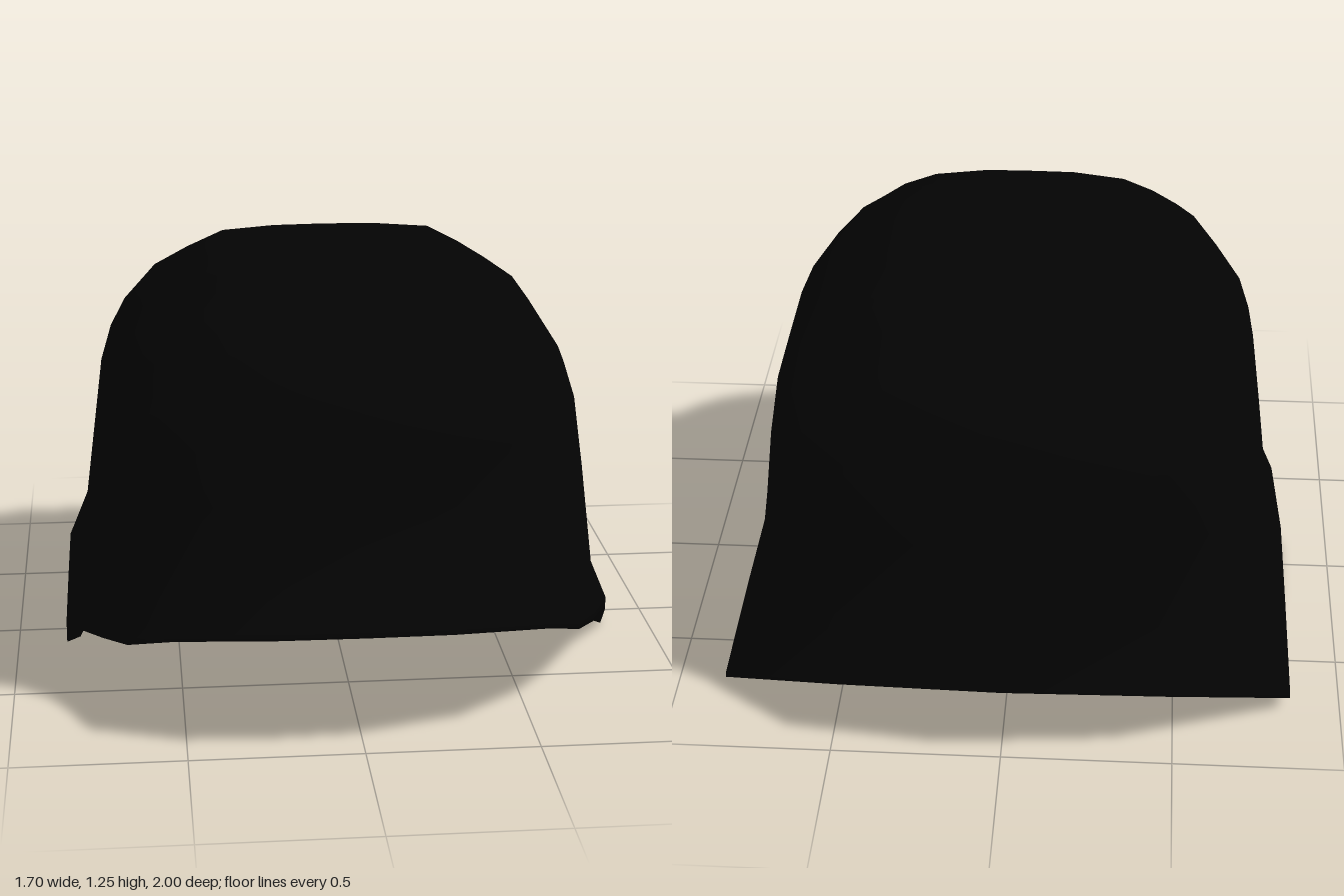
import * as THREE from 'three';

// Half rim from front to back: x, y, z, lip height
const RIM = [
  [0, 0.35, 1, 0.02], [0.25, 0.345, 0.985, 0.02], [0.53, 0.31, 0.88, 0.02], [0.66, 0.23, 0.7, 0.02],
  [0.73, 0.2, 0.57, 0.03], [0.82, 0.13, 0.31, 0.04], [0.85, 0, 0.11, 0.07], [0.85, 0.02, -0.3, 0.05],
  [0.85, 0.04, -0.73, 0.015], [0.48, 0.2, -0.94, 0.01], [0, 0.24, -1, 0.005],
];

// Shell rings: half width, front depth, back depth, height at front, side and back,
// squareness of the front and back halves
const RINGS = [
  [0.79, 0.9, 0.89, 0.45, 0.26, 0.42, 2.6, 4.6],
  [0.75, 0.775, 0.86, 0.65, 0.58, 0.65, 3, 4.5],
  [0.72, 0.79, 0.83, 0.81, 0.81, 0.88, 2.9, 4.8],
  [0.69, 0.74, 0.77, 0.92, 0.92, 0.97, 2.7, 4],
  [0.595, 0.69, 0.7, 1.03, 1.07, 1.08, 2.55, 3.2],
  [0.475, 0.55, 0.51, 1.13, 1.15, 1.155, 3, 4],
  [0.36, 0.25, 0.32, 1.245, 1.22, 1.23, 4, 6],
];

// Mirror a half ring into a closed loop
function mirrorLoop(half) {
  const other = half.slice(1, -1).reverse().map(([x, y, z]) => [-x, y, z]);
  return [...half, ...other];
}

// One shell section, following the directions of the rim points
function section([w, front, back, yf, ys, yb, nf, nb]) {
  return RIM.map(([rx, , rz]) => {
    const a = Math.atan2(rx, rz), s = Math.sin(a), c = Math.cos(a);
    const [depth, yEnd, n] = c > 0 ? [front, yf, nf] : [back, yb, nb];
    const r = (Math.abs(s / w) ** n + Math.abs(c / depth) ** n) ** (-1 / n);
    return [s * r, ys + (yEnd - ys) * c * c, c * r];
  });
}

function loft(loops, apex) {
  const n = loops[0].length, index = [];
  const top = (loops.length - 1) * n;
  for (let r = 0; r < loops.length - 1; r++) {
    for (let i = 0; i < n; i++) {
      const a = r * n + i, b = r * n + (i + 1) % n;
      index.push(a, b, b + n, a, b + n, a + n);
    }
  }
  for (let i = 0; i < n; i++) index.push(top + i, top + (i + 1) % n, loops.length * n);
  const geo = new THREE.BufferGeometry();
  geo.setAttribute('position', new THREE.Float32BufferAttribute([...loops.flat(), apex].flat(), 3));
  geo.setIndex(index);
  geo.computeVertexNormals();
  return geo;
}

export function createModel() {
  const group = new THREE.Group();
  group.name = 'helmet';
  const black = new THREE.MeshStandardMaterial({ color: 0x030303, side: THREE.DoubleSide });
  black.name = 'black';

  // Open shell: turned-in edge, rim, short lip, flared skirt and rounded crown
  const edge = RIM.map(([x, y, z]) => [x * 0.95, y + 0.015, z * 0.95]);
  const rim = RIM.map(([x, y, z]) => [x, y, z]);
  const lip = RIM.map(([x, y, z, h]) => [x, y + h, z]);
  const loops = [edge, rim, lip, ...RINGS.map(section)].map(mirrorLoop);
  const shell = new THREE.Mesh(loft(loops, [0, 1.25, 0.02]), black);
  shell.name = 'helmetShell';
  group.add(shell);
  return group;
}
